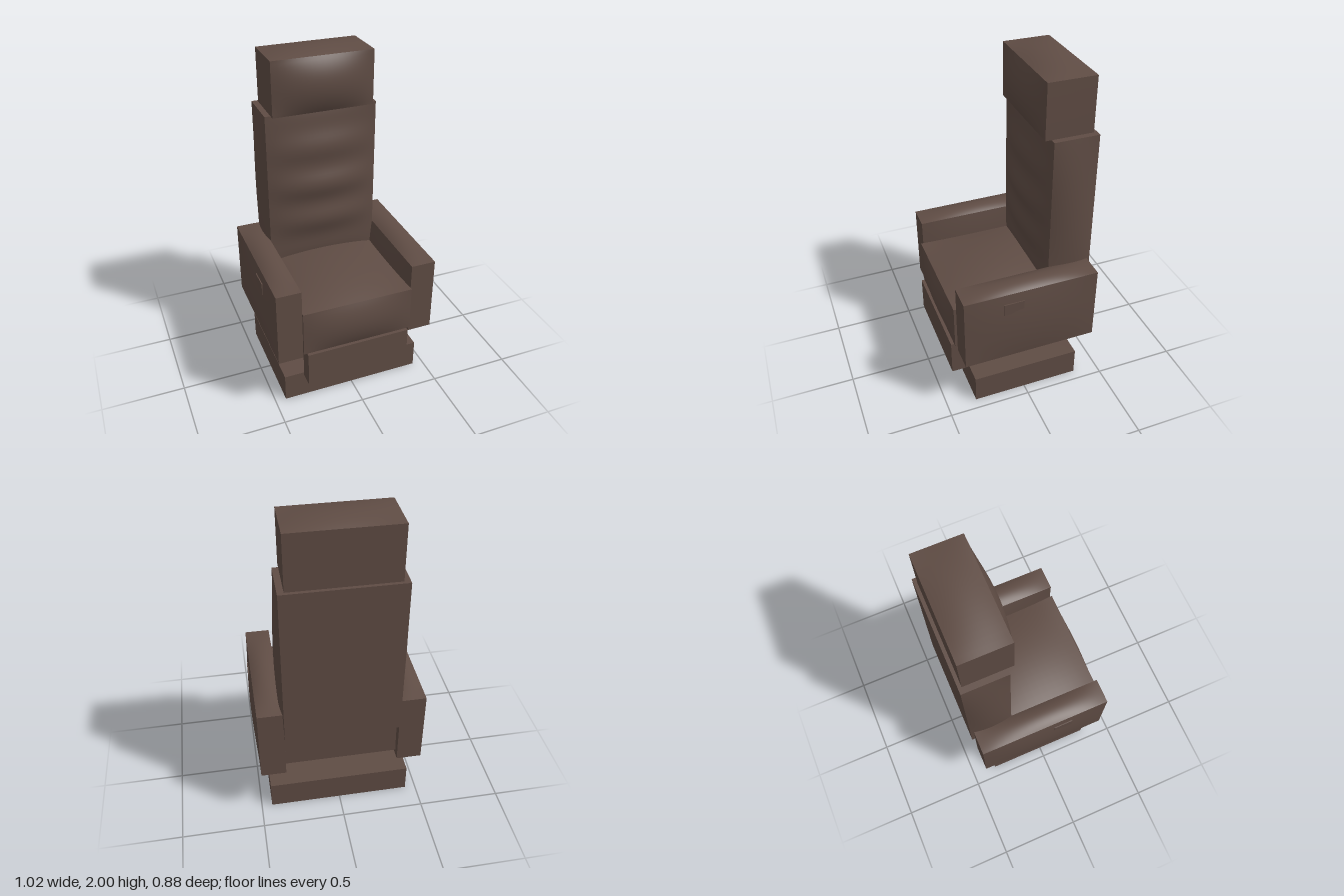
import * as THREE from 'three';

const upholstery = new THREE.MeshStandardMaterial({ color: 0x5f4c44 });
upholstery.name = 'brown upholstery';

// Box between min and max corners whose faces may swell outwards.
// puffs: { px, nx, py, ny, pz, nz } = swelling at the face centre; ripple(y) adds folds to the front.
function cushion(name, min, max, puffs = {}, ripple = null) {
  const size = max.map((m, i) => m - min[i]);
  const seg = Object.keys(puffs).length ? 16 : 1;
  const geo = new THREE.BoxGeometry(...size, seg, ripple ? 48 : seg, seg);
  const pos = geo.attributes.position;
  const normal = geo.attributes.normal.clone();
  for (let i = 0; i < pos.count; i++) {
    const n = [normal.getX(i), normal.getY(i), normal.getZ(i)];
    const p = [pos.getX(i), pos.getY(i), pos.getZ(i)];
    const axis = n.findIndex((c) => Math.abs(c) > 0.5);
    const key = (n[axis] > 0 ? 'p' : 'n') + 'xyz'[axis];
    let swell = 1;
    for (let a = 0; a < 3; a++) {
      if (a !== axis) swell *= 1 - (2 * p[a] / size[a]) ** 2;
    }
    let amount = puffs[key] || 0;
    if (ripple && key === 'pz') amount += ripple(p[1] / size[1] + 0.5);
    p[axis] += n[axis] * amount * swell;
    pos.setXYZ(i, ...p);
  }
  geo.computeVertexNormals();
  const mesh = new THREE.Mesh(geo, upholstery);
  mesh.name = name;
  mesh.position.set(...min.map((m, i) => (m + max[i]) / 2));
  return mesh;
}

export function createModel() {
  const chair = new THREE.Group();
  chair.name = 'recliner';

  // Base and leg rest
  chair.add(cushion('base', [-0.435, 0, -0.345], [0.435, 0.175, 0.32]));
  chair.add(cushion('legRest', [-0.32, 0.175, 0.34], [0.32, 0.4, 0.43]));

  // Seat cushion, domed on top and at the front
  chair.add(cushion('seat', [-0.34, 0.4, -0.38], [0.34, 0.685, 0.41], { py: 0.045, pz: 0.03 }));

  // Backrest with soft horizontal folds
  const folds = (t) => 0.011 * Math.sin(t * Math.PI * 8 + 0.6);
  chair.add(cushion('backrest', [-0.34, 0.65, -0.44], [0.34, 1.65, -0.175],
    { px: 0.027, nx: 0.027, pz: 0.047 }, folds));

  // Headrest
  chair.add(cushion('headrest', [-0.305, 1.65, -0.42], [0.305, 1.975, -0.138], { py: 0.025, pz: 0.046 }));

  // Arms, each with a small control panel on the outside
  for (const side of [1, -1]) {
    const arm = new THREE.Group();
    arm.name = side > 0 ? 'leftArm' : 'rightArm';
    const span = (a, b) => (side > 0 ? [a, b] : [-b, -a]);
    const [x0, x1] = span(0.34, 0.49);
    arm.add(cushion('armrest', [x0, 0.365, -0.42], [x1, 0.835, 0.395],
      { px: 0.018, nx: 0.018, py: 0.023 }));
    const [c0, c1] = span(0.485, 0.503);
    arm.add(cushion('controlPanel', [c0, 0.7, 0.04], [c1, 0.775, 0.16]));
    chair.add(arm);
  }
  return chair;
}
